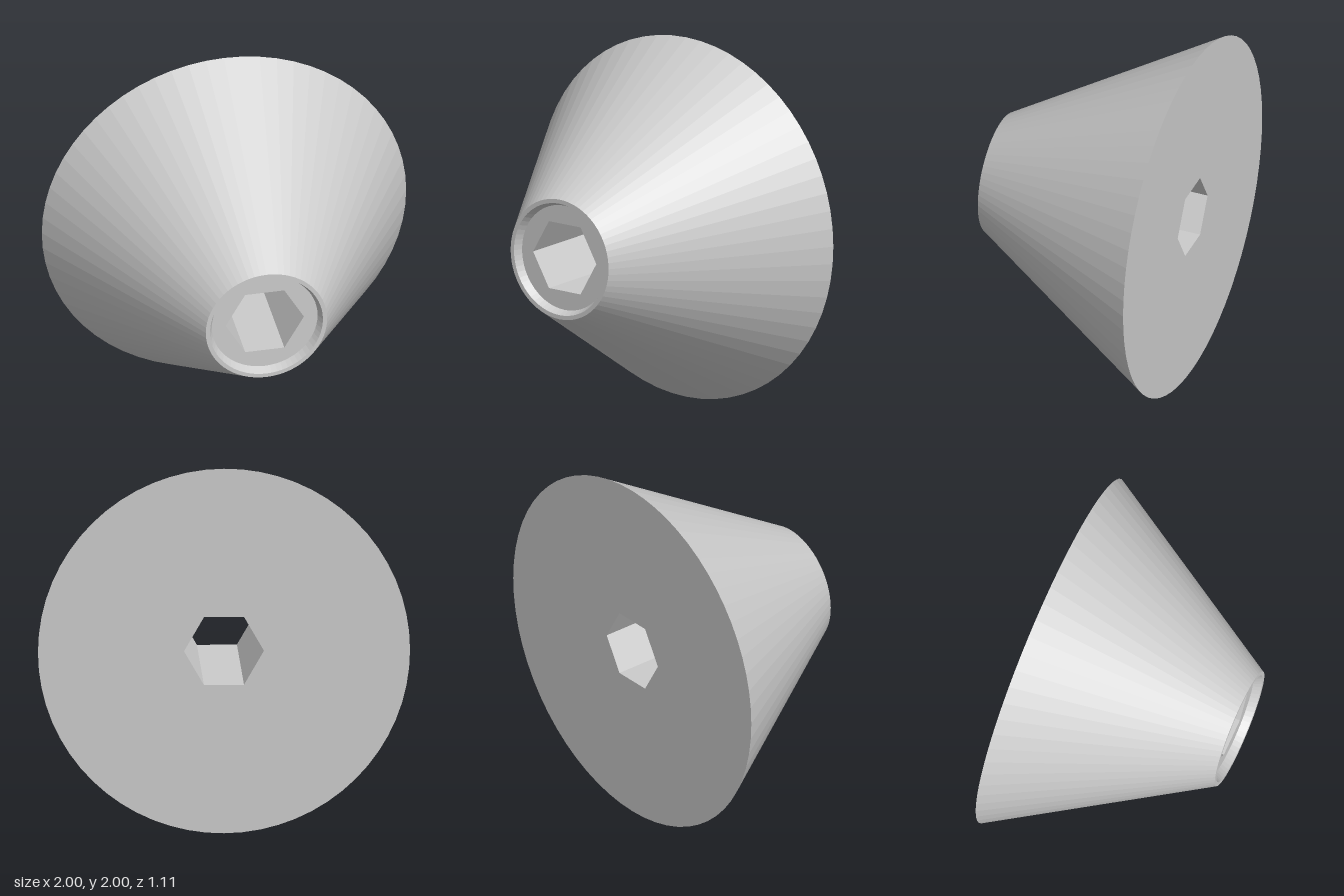
import * as THREE from 'three';

const SIDES = 64, BACK = -0.555, FRONT = 0.555, FLOOR = 0.51;
const BASE_R = 1, TIP_R = 0.333, RIM_R = 0.31, FLOOR_R = 0.29, HEX_R = 0.215;

export function createModel() {
  const group = new THREE.Group();
  const material = new THREE.MeshStandardMaterial({ color: 0xcccccc, flatShading: true });

  const add = (name, geometry) => {
    const mesh = new THREE.Mesh(geometry, material);
    mesh.name = name;
    mesh.position.y = 1;
    group.add(mesh);
  };

  // Profile of [radius, z] pairs turned about the z axis, first corner on +x
  const turned = (profile, sides) =>
    new THREE.LatheGeometry(profile.map(([r, z]) => new THREE.Vector2(r, z)), sides, Math.PI / 2)
      .rotateX(Math.PI / 2);

  const ring = (radius, sides) => Array.from({ length: sides }, (_, i) => {
    const a = (i / sides) * Math.PI * 2;
    return new THREE.Vector2(radius * Math.cos(a), radius * Math.sin(a));
  });

  // Flat disc with the hexagonal opening
  const plate = (radius) => {
    const shape = new THREE.Shape(ring(radius, SIDES));
    shape.holes.push(new THREE.Path(ring(HEX_R, 6)));
    return new THREE.ShapeGeometry(shape);
  };

  add('coneBody', turned([[BASE_R, BACK], [TIP_R, FRONT]], SIDES));
  add('frontRim', turned([[TIP_R, FRONT], [RIM_R, FRONT]], SIDES));
  add('recessWall', turned([[RIM_R, FRONT], [FLOOR_R, FLOOR]], SIDES));
  add('recessFloor', plate(FLOOR_R).translate(0, 0, FLOOR));
  add('backFace', plate(BASE_R).rotateY(Math.PI).translate(0, 0, BACK));

  // Hexagonal through-hole, facing inward
  add('hexBore', turned([[HEX_R, FLOOR], [HEX_R, BACK]], 6));

  return group;
}
